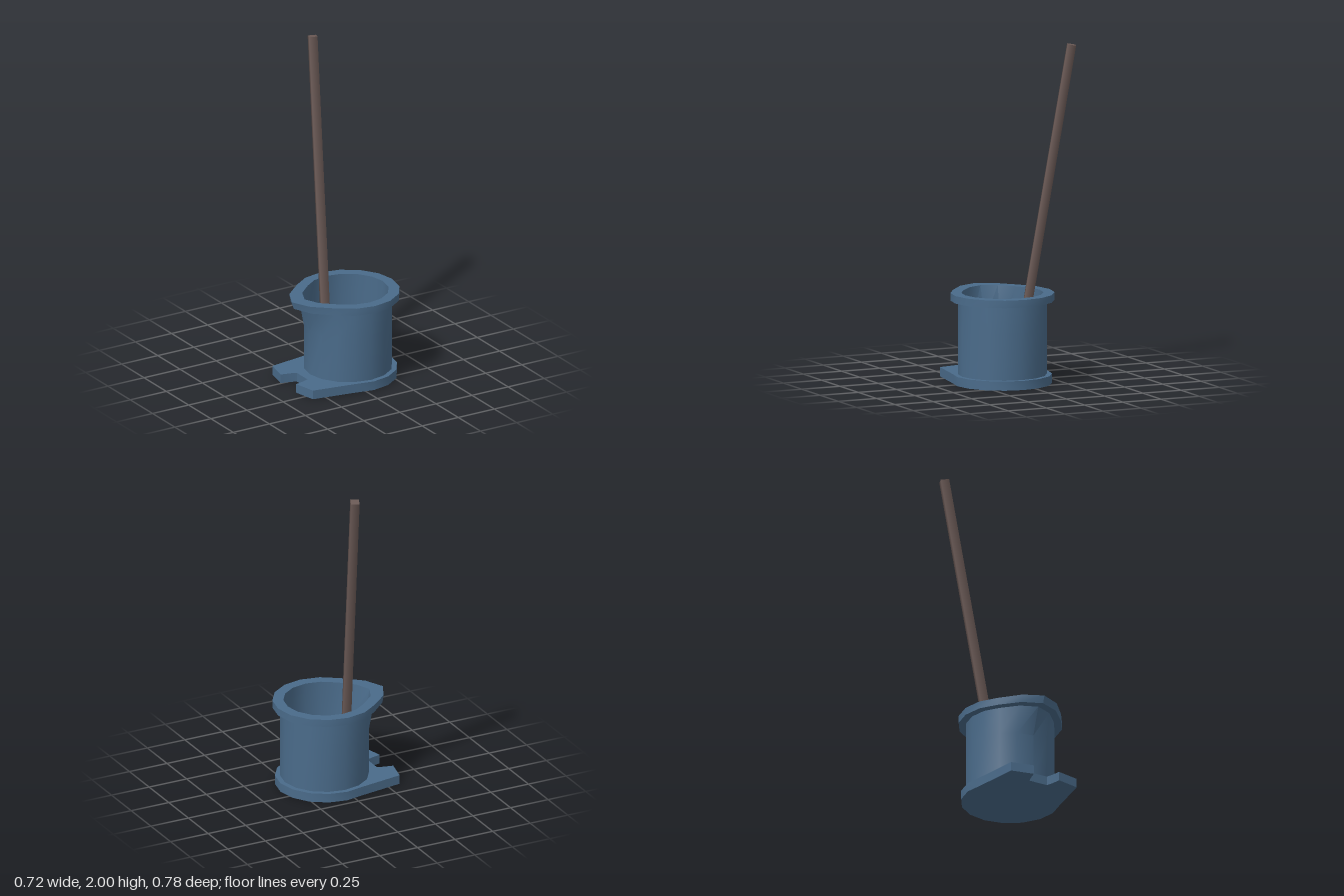
import * as THREE from 'three';
import { toCreasedNormals } from 'three/addons/utils/BufferGeometryUtils.js';

const CX = 0.052, CZ = 0.083, SIDES = 16;
const blue = new THREE.MeshStandardMaterial({ color: 0x4a6b8a });
const brown = new THREE.MeshStandardMaterial({ color: 0x6b5a56 });
const cyan = new THREE.MeshStandardMaterial({ color: 0x56b8cf });

function add(group, name, geometry, material) {
  const mesh = new THREE.Mesh(geometry, material);
  mesh.name = name;
  group.add(mesh);
  return mesh;
}

// Lofts [radius, y, spout pull] rings; the pull moves the points at the -x side outward.
function loft(rings) {
  const pos = [], index = [];
  for (const [r, y, pull] of rings) {
    for (let i = 0; i < SIDES; i++) {
      const a = (i / SIDES) * Math.PI * 2;
      const weight = [1, 0.6][Math.abs(i - SIDES / 2)] ?? 0;
      pos.push(CX + r * Math.cos(a) - pull * weight, y, CZ + r * Math.sin(a));
    }
  }
  for (let k = 0; k < rings.length - 1; k++) {
    for (let i = 0; i < SIDES; i++) {
      const j = (i + 1) % SIDES, lo = k * SIDES, hi = lo + SIDES;
      index.push(lo + i, hi + i, lo + j, lo + j, hi + i, hi + j);
    }
  }
  const g = new THREE.BufferGeometry();
  g.setAttribute('position', new THREE.Float32BufferAttribute(pos, 3));
  g.setIndex(index);
  return toCreasedNormals(g, 0.6);
}

export function createModel() {
  const model = new THREE.Group();
  model.name = 'mopAndBucket';

  // Bucket wall: outside up, around the rim, and down the inside
  add(model, 'bucket', loft([
    [0.263, 0.05, 0], [0.263, 0.33, 0], [0.263, 0.495, 0.055],
    [0.308, 0.495, 0.066], [0.308, 0.54, 0.08],
    [0.243, 0.54, 0.057], [0.243, 0.33, 0], [0.243, 0.05, 0],
  ]), blue);

  // Base plate: round, with a notched foot tab on the spout side
  const outline = [];
  for (let i = -5; i <= 5; i++) {
    const a = (i / SIDES) * Math.PI * 2;
    outline.push(new THREE.Vector2(CX + 0.293 * Math.cos(a), CZ + 0.293 * Math.sin(a)));
  }
  const tab = [[-0.33, 0.226], [-0.36, 0.087], [-0.3, 0.073], [-0.265, 0.06]];
  for (const [x, z] of tab) outline.push(new THREE.Vector2(x, CZ + z));
  for (const [x, z] of [...tab].reverse()) outline.push(new THREE.Vector2(x, CZ - z));
  const base = new THREE.ExtrudeGeometry(new THREE.Shape(outline), { depth: 0.055, bevelEnabled: false });
  base.rotateX(Math.PI / 2).translate(0, 0.055, 0);
  add(model, 'basePlate', toCreasedNormals(base, 0.5), blue);

  // Water surface
  const water = new THREE.CircleGeometry(0.243, SIDES).rotateX(-Math.PI / 2);
  add(model, 'water', water, cyan).position.set(CX, 0.09, CZ);

  // Mop head: low dome resting in the water
  const head = new THREE.SphereGeometry(1, 8, 6);
  head.scale(0.157, 0.075, 0.157);
  add(model, 'mopHead', head, brown).position.set(0.009, 0.1, 0.032);

  // Leaning square handle
  const top = new THREE.Vector3(0.079, 1.994, -0.356);
  const foot = new THREE.Vector3(-0.013, 0.09, -0.044);
  const axis = top.clone().sub(foot);
  const handle = new THREE.CylinderGeometry(0.036, 0.036, axis.length(), 4);
  handle.rotateY(Math.PI / 4 - 0.38);
  const stick = add(model, 'mopHandle', handle, brown);
  stick.quaternion.setFromUnitVectors(new THREE.Vector3(0, 1, 0), axis.normalize());
  stick.position.copy(top).add(foot).multiplyScalar(0.5);

  return model;
}
